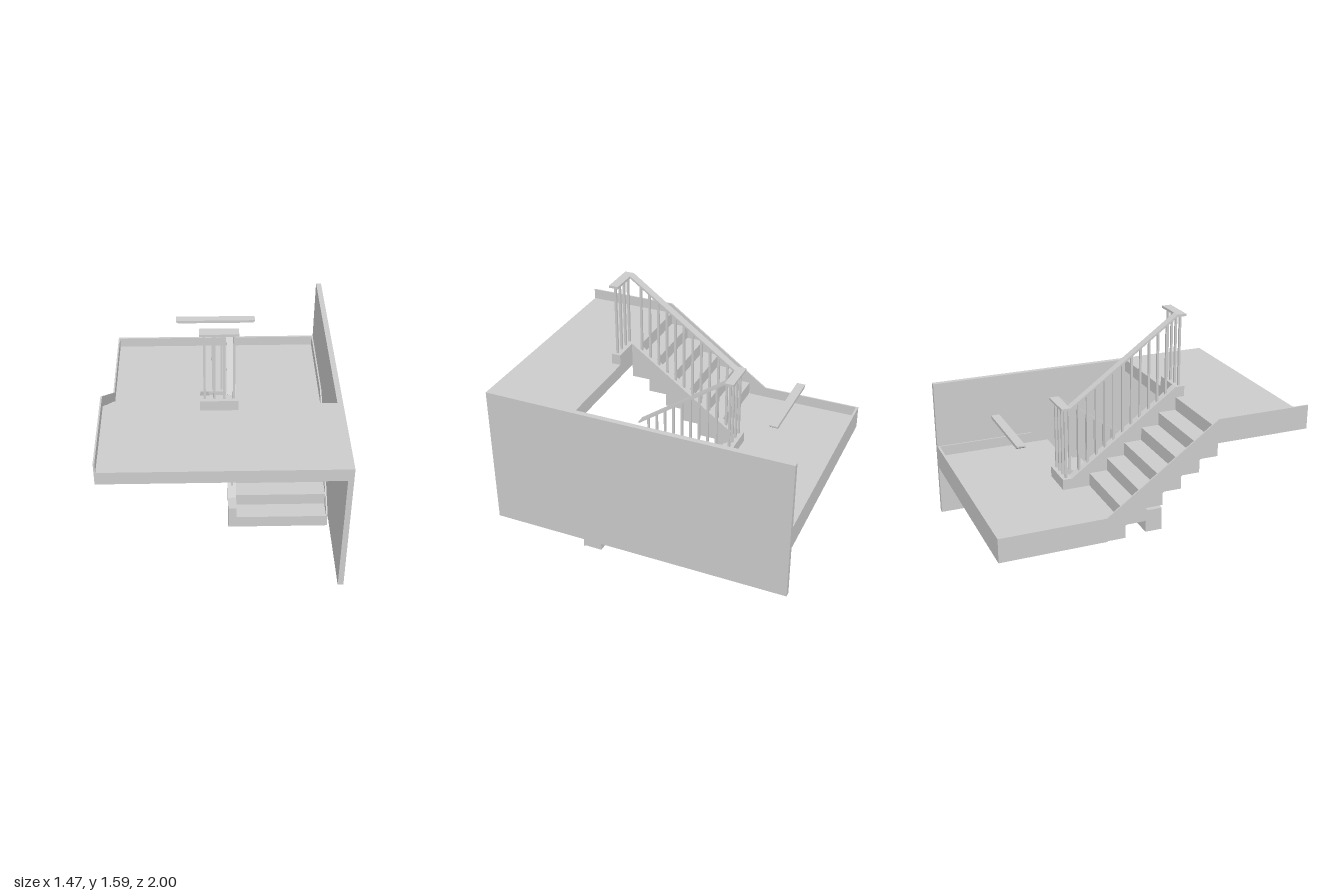
import * as THREE from 'three';

export function createModel() {
  const model = new THREE.Group();
  const material = new THREE.MeshStandardMaterial({ color: 0xcccccc });

  const add = (name, geometry, parent = model) => {
    const mesh = new THREE.Mesh(geometry, material);
    mesh.name = name;
    parent.add(mesh);
    return mesh;
  };
  // Box given by its limits on each axis
  const box = (name, x0, x1, y0, y1, z0, z1, parent) =>
    add(name, new THREE.BoxGeometry(x1 - x0, y1 - y0, z1 - z0), parent)
      .position.set((x0 + x1) / 2, (y0 + y1) / 2, (z0 + z1) / 2);
  // Side profile in [z, y] points, extruded from x0 to x1
  const plate = (name, x0, x1, points, parent) => {
    const shape = new THREE.Shape(points.map(([z, y]) => new THREE.Vector2(z, y)));
    const geometry = new THREE.ExtrudeGeometry(shape, { depth: x1 - x0, bevelEnabled: false });
    geometry.rotateY(-Math.PI / 2).translate(x1, 0, 0);
    return add(name, geometry, parent);
  };
  const group = (name) => {
    const g = new THREE.Group();
    g.name = name;
    model.add(g);
    return g;
  };

  const RISE = 0.52 / 6, RUN = 0.12;
  const LAND = 0.52, FLOOR = 1.04;

  // Wall and floors
  box('sideWall', 0.70, 0.735, 0.09, FLOOR, -1, 1);
  box('upperFloor', -0.725, 0.70, FLOOR - RISE, FLOOR, 0.39, 1);
  box('landing', -0.725, 0.69, LAND - RISE, LAND, -0.985, -0.33);
  box('landingEdgeLeft', 0.041, 0.69, LAND - RISE, LAND, -0.33, -0.21);
  box('landingEdgeRight', -0.725, -0.081, LAND - RISE, LAND, -0.33, -0.21);
  box('landingBackSkirting', -0.725, 0.69, LAND - RISE, 0.59, -1, -0.985);

  // Stepped flights, open underneath
  const lower = group('lowerFlight'), upper = group('upperFlight');
  for (let i = 0; i < 5; i++) {
    const z = -0.21 + i * RUN;
    const down = LAND - (i + 1) * RISE, up = LAND + (i + 1) * RISE;
    box('lowerStep', 0.041, 0.69, down - RISE, down, z, z + RUN, lower);
    box('upperStep', -0.725, -0.081, up - RISE, up, z, z + RUN, upper);
  }

  // Outer stringers, running on as skirting
  plate('upperOuterStringer', -0.735, -0.725, [
    [-1, 0.435], [-0.33, 0.435], [0.39, 0.955], [1, 0.955],
    [1, 1.11], [0.39, 1.11], [-0.33, 0.59], [-1, 0.59],
  ], upper);
  plate('lowerOuterStringer', 0.69, 0.70, [
    [-1, 0.435], [-0.21, 0.435], [0.39, 0], [0.39, 0.10], [-0.33, 0.59], [-1, 0.59],
  ], lower);

  // Inner kerbs carrying the balusters
  plate('upperKerb', -0.135, -0.08, [
    [-0.33, 0.435], [0.39, 0.955], [0.39, 1.11], [-0.33, 0.59],
  ], upper);
  plate('lowerKerb', 0.04, 0.095, [
    [-0.33, 0.435], [-0.21, 0.435], [0.39, 0], [0.39, 0.165], [0.285, 0.165], [-0.315, 0.59], [-0.33, 0.59],
  ], lower);
  box('landingKerb', -0.135, 0.095, LAND - 0.084, 0.59, -0.39, -0.329);
  box('floorKerb', -0.135, 0.095, FLOOR, 1.11, 0.39, 0.45);

  // Handrails
  const railing = group('railing');
  const T = 0.015;
  const slopedRail = (name, x0, x1, z0, y0, z1, y1) =>
    plate(name, x0, x1, [[z0, y0 - T], [z1, y1 - T], [z1, y1], [z0, y0]], railing);
  slopedRail('upperHandrail', -0.135, -0.08, -0.33, 1.07, 0.39, 1.59);
  slopedRail('lowerHandrail', 0.04, 0.095, -0.33, 1.07, 0.27, 0.64);
  box('landingHandrail', -0.135, 0.095, 1.07 - T, 1.07, -0.39, -0.33, railing);
  box('floorHandrail', -0.135, 0.095, 1.59 - T, 1.59, 0.39, 0.45, railing);

  // Balusters
  const R = 0.007;
  const baluster = (x, z, y0, y1) => box('baluster', x - R, x + R, y0, y1, z - R, z + R, railing);
  for (let i = 0; i < 11; i++) {
    const z = -0.27 + i * 0.06;
    const foot = 0.59 + (z + 0.33) * 0.722;
    baluster(-0.107, z, foot - 0.01, foot + 0.47);
    if (i < 9) {
      const low = 0.59 - (z + 0.33) * 0.715;
      baluster(0.068, z, low - 0.01, low + 0.47);
    }
  }
  for (let i = 0; i < 4; i++) {
    const x = -0.107 + i * 0.0585;
    baluster(x, -0.36, 0.59, 1.06);
    baluster(x, 0.42, 1.11, 1.58);
  }

  // Separate rail over the landing, with undercut ends
  const bar = new THREE.Shape([
    [-0.285, 0.922], [0.235, 0.922], [0.25, 0.934], [0.25, 0.942], [-0.30, 0.942], [-0.30, 0.934],
  ].map(([x, y]) => new THREE.Vector2(x, y)));
  add('landingWallRail', new THREE.ExtrudeGeometry(bar, { depth: 0.055, bevelEnabled: false }))
    .position.z = -0.735;

  return model;
}
